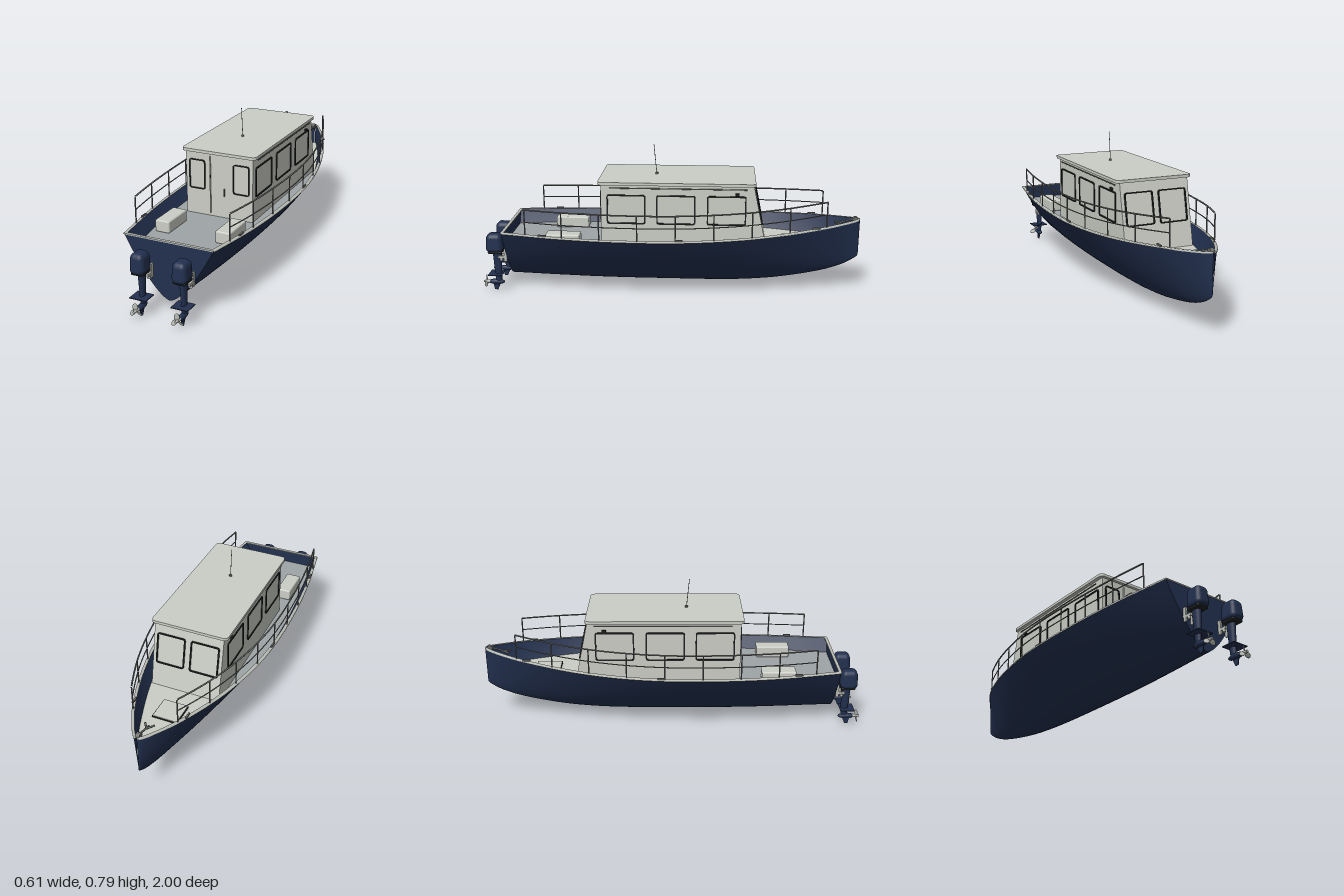
import * as THREE from 'three';
import { RoundedBoxGeometry } from 'three/addons/geometries/RoundedBoxGeometry.js';

const V = (x, y, z) => new THREE.Vector3(x, y, z);
const mat = (name, color, side = THREE.FrontSide) =>
  Object.assign(new THREE.MeshStandardMaterial({ color, side }), { name });

// Hull stations: z, half width, keel height, gunwale height
const STATIONS = [
  [0.86, 0.23, 0.063, 0.357], [0.6, 0.27, 0.055, 0.351], [0.4, 0.29, 0.05, 0.348],
  [0.2, 0.3, 0.048, 0.347], [0, 0.301, 0.048, 0.348], [-0.2, 0.287, 0.048, 0.352],
  [-0.4, 0.253, 0.053, 0.358], [-0.6, 0.201, 0.072, 0.369], [-0.8, 0.126, 0.11, 0.383],
  [-0.92, 0.065, 0.15, 0.392], [-0.985, 0.023, 0.188, 0.398], [-1, 0.002, 0.205, 0.4],
];
const curve = (pts) => new THREE.CatmullRomCurve3(pts, false, 'catmullrom', 0.5);
const topCurve = curve(STATIONS.map(([z, w, , t]) => V(w, t, z)));
const keelCurve = curve(STATIONS.map(([z, , k]) => V(0, k, z)));
const DECK = 0.285;

function station(u) {
  const p = topCurve.getPoint(u);
  return { z: p.z, w: Math.max(p.x, 0.002), top: p.y, keel: keelCurve.getPoint(u).y };
}
function stationAt(z) {
  let lo = 0, hi = 1;
  for (let i = 0; i < 30; i++) {
    const m = (lo + hi) / 2;
    if (topCurve.getPoint(m).z > z) lo = m; else hi = m;
  }
  return station(lo);
}
const RINGS = Array.from({ length: 61 }, (_, i) => station(i / 60));

// Grid of points (rows of equal length) to a smooth surface
function loft(rows) {
  const n = rows[0].length, pos = [], idx = [];
  rows.forEach((r) => r.forEach((p) => pos.push(p.x, p.y, p.z)));
  for (let i = 0; i < rows.length - 1; i++) for (let j = 0; j < n - 1; j++) {
    const a = i * n + j, b = a + n;
    idx.push(a, a + 1, b, a + 1, b + 1, b);
  }
  const g = new THREE.BufferGeometry();
  g.setAttribute('position', new THREE.Float32BufferAttribute(pos, 3));
  g.setIndex(idx);
  g.computeVertexNormals();
  return g;
}
const section = (s) => Array.from({ length: 33 }, (_, j) => {
  const t = j / 16 - 1;
  return V(s.w * t, s.keel + (s.top - s.keel) * Math.abs(t) ** 1.5, s.z);
});

function roundRect(w, h, r, C = THREE.Shape) {
  const s = new C(), x = w / 2, y = h / 2;
  s.moveTo(-x + r, -y);
  s.lineTo(x - r, -y); s.quadraticCurveTo(x, -y, x, -y + r);
  s.lineTo(x, y - r); s.quadraticCurveTo(x, y, x - r, y);
  s.lineTo(-x + r, y); s.quadraticCurveTo(-x, y, -x, y - r);
  s.lineTo(-x, -y + r); s.quadraticCurveTo(-x, -y, -x + r, -y);
  return s;
}
const extrude = (shape, depth) =>
  new THREE.ExtrudeGeometry(shape, { depth, bevelEnabled: false, curveSegments: 6 });
function frameGeo(w, h, t, r, depth = 0.006) {
  const s = roundRect(w, h, r);
  s.holes.push(roundRect(w - 2 * t, h - 2 * t, Math.max(r - t, 0.001), THREE.Path));
  return extrude(s, depth);
}
const box = (w, h, d) => new THREE.BoxGeometry(w, h, d);
const tube = (pts, r) => new THREE.TubeGeometry(
  pts.length > 2 ? new THREE.CatmullRomCurve3(pts) : new THREE.LineCurve3(...pts),
  pts.length > 2 ? 60 : 1, r, 8);

export function createModel() {
  const model = new THREE.Group();
  const navy = mat('navy', 0x22304f, THREE.DoubleSide);
  const cream = mat('cream', 0xcbcec6);
  const trim = mat('trim', 0xb9bcb5, THREE.DoubleSide);
  const deckGrey = mat('deckGrey', 0x9fa4a6, THREE.DoubleSide);
  const foredeckCream = mat('foredeckCream', 0xcbcec6, THREE.DoubleSide);
  const steel = mat('steel', 0x6c6e6b);
  const black = mat('black', 0x1d201f);
  const add = (name, geo, m, x = 0, y = 0, z = 0, parent = model) => {
    const o = new THREE.Mesh(geo, m);
    o.name = name;
    o.position.set(x, y, z);
    parent.add(o);
    return o;
  };

  // Hull shell and flat transom
  add('hull', loft(RINGS.map(section)), navy);
  const transom = new THREE.Shape(section(RINGS[0]).map((p) => new THREE.Vector2(p.x, p.y)));
  add('transom', new THREE.ShapeGeometry(transom), navy, 0, 0, 0.86);

  // Flat decks fitted to the inside of the hull
  const deckRow = (z) => {
    const s = stationAt(z);
    const w = s.w * ((DECK - s.keel) / (s.top - s.keel)) ** (2 / 3);
    return [V(-w, DECK, z), V(w, DECK, z)];
  };
  const deck = (z0, z1) => loft(Array.from({ length: 25 }, (_, i) => deckRow(z0 + (z1 - z0) * i / 24)));
  add('cockpitDeck', deck(0.858, -0.49), deckGrey);
  add('foreDeck', deck(-0.49, -0.995), foredeckCream);

  // Gunwale cap on both sides and across the stern
  for (const s of [-1, 1]) {
    add('gunwale', loft(RINGS.map((r) => [
      V(s * Math.max(r.w - 0.013, 0), r.top + 0.004, r.z), V(s * (r.w + 0.003), r.top + 0.004, r.z),
      V(s * (r.w + 0.003), r.top - 0.004, r.z)])), trim);
  }
  add('sternCap', box(0.46, 0.006, 0.016), trim, 0, 0.358, 0.855);

  // Cabin body with raked front
  const profile = new THREE.Shape([[0.345, DECK], [0.345, 0.617], [-0.435, 0.617], [-0.505, DECK]]
    .map(([z, y]) => new THREE.Vector2(z, y)));
  add('cabin', extrude(profile, 0.366).rotateY(-Math.PI / 2).translate(0.183, 0, 0), cream);
  add('roof', extrude(roundRect(0.404, 0.805, 0.025), 0.015).rotateX(-Math.PI / 2), cream, 0, 0.615, -0.0425);
  add('antennaBase', new THREE.CylinderGeometry(0.007, 0.007, 0.01, 16), steel, 0, 0.634, 0.07);
  add('antenna', tube([V(0, 0.63, 0.07), V(0, 0.785, 0.085)], 0.0016), steel);

  // Window frames, grab rails and side lights
  const rake = Math.atan2(0.07, 0.332);
  for (const s of [-1, 1]) {
    add('aftWindowFrame', frameGeo(0.09, 0.156, 0.006, 0.016), black, s * 0.121, 0.497, 0.344);
    for (const z of [0.215, -0.04, -0.298]) {
      add('sideWindowFrame', frameGeo(0.2, 0.155, 0.007, 0.014), black, s * 0.182, 0.485, z)
        .rotation.y = s * Math.PI / 2;
    }
    const y = 0.487;
    add('windshieldFrame', frameGeo(0.152, 0.165, 0.007, 0.014), black, s * 0.09, y,
      -0.505 + (y - DECK) * Math.tan(rake)).rotation.set(rake, Math.PI, 0);
    add('grabRail', tube([V(s * 0.188, 0.598, 0.3), V(s * 0.188, 0.598, -0.4)], 0.003), steel);
    add('sideLight', box(0.012, 0.012, 0.02), black, s * 0.187, 0.572, -0.35);
  }
  // Cabin door details
  add('doorEdge', box(0.005, 0.3, 0.008), cream, -0.048, 0.45, 0.347);
  add('doorLatch', box(0.004, 0.014, 0.01), black, -0.046, 0.497, 0.35);
  add('doorHandle', box(0.003, 0.038, 0.012), steel, 0.03, 0.42, 0.35);

  // Deck rails with posts
  const H = 0.137;
  for (const s of [-1, 1]) {
    const onGunwale = (z, h) => {
      const g = stationAt(z);
      return V(s * (g.w - 0.004), g.top + h, z);
    };
    for (const [name, h, r] of [['topRail', H, 0.004], ['middleRail', H * 0.52, 0.0028]]) {
      add(name, tube(Array.from({ length: 17 }, (_, i) => onGunwale(0.73 - i * 0.09656, h)), r), steel);
    }
    for (let i = 0; i < 9; i++) {
      const z = 0.73 - i * 0.1931;
      add('railPost', tube([onGunwale(z, 0), onGunwale(z, H)], 0.0035), steel);
    }
    // Mooring cleats
    for (const z of [0.64, -0.06, -0.76]) {
      const p = onGunwale(z, 0.008);
      add('cleat', box(0.008, 0.008, 0.04), steel, p.x, p.y, p.z);
    }
    // Cockpit seats
    add('seat', new RoundedBoxGeometry(0.078, 0.062, 0.178, 3, 0.008), cream, s * 0.162, 0.316, 0.548);
  }

  // Foredeck hatch
  add('hatch', box(0.126, 0.008, 0.126), cream, 0, DECK + 0.004, -0.665);
  add('hatchSeam', frameGeo(0.134, 0.134, 0.004, 0.005, 0.005).rotateX(-Math.PI / 2), black, 0, DECK, -0.665);

  // Anchor on its bow roller
  const anchor = new THREE.Group();
  anchor.name = 'anchor';
  model.add(anchor);
  add('bowRoller', new THREE.CylinderGeometry(0.016, 0.016, 0.02, 16).rotateZ(Math.PI / 2), steel, 0, 0.398, -0.976, anchor);
  add('shank', tube([V(0, 0.402, -0.97), V(0, 0.375, -0.88)], 0.005), steel, 0, 0, 0, anchor);
  for (const s of [-1, 1]) {
    add('fluke', tube([V(0, 0.38, -0.905), V(s * 0.024, 0.378, -0.87)], 0.005), steel, 0, 0, 0, anchor);
  }

  // Twin outboard motors
  for (const s of [-1, 1]) {
    const motor = new THREE.Group();
    motor.name = 'outboardMotor';
    motor.position.x = s * 0.108;
    model.add(motor);
    const put = (name, geo, m, x, y, z) => add(name, geo, m, x, y, z, motor);
    const cowl = new RoundedBoxGeometry(0.076, 0.105, 0.092, 6, 0.026);
    const p = cowl.attributes.position;
    for (let i = 0; i < p.count; i++) {
      const k = 1 - 0.14 * Math.max(0, p.getY(i) / 0.0525);
      p.setXYZ(i, p.getX(i) * k, p.getY(i), p.getZ(i) * k);
    }
    cowl.computeVertexNormals();
    put('cowl', cowl, navy, 0, 0.2675, 0.928);
    put('cowlBand', new RoundedBoxGeometry(0.064, 0.016, 0.075, 3, 0.007), black, 0, 0.219, 0.925);
    put('leg', new THREE.CylinderGeometry(0.017, 0.011, 0.165, 20).scale(1, 1, 1.5), navy, 0, 0.135, 0.917);
    put('ventilationPlate', box(0.087, 0.004, 0.075), navy, 0, 0.094, 0.928);
    put('gearcase', new THREE.SphereGeometry(0.015, 20, 14).scale(1, 1, 3), navy, 0, 0.046, 0.93);
    const skeg = new THREE.Shape([[0.905, 0.046], [0.95, 0.046], [0.942, 0.002], [0.925, 0]]
      .map(([z, y]) => new THREE.Vector2(z, y)));
    put('skeg', extrude(skeg, 0.005).rotateY(-Math.PI / 2), navy, 0.0025, 0, 0);
    // Transom clamps
    for (const c of [-1, 1]) {
      put('clamp', box(0.01, 0.07, 0.016), trim, c * 0.022, 0.205, 0.868);
      put('clampArm', box(0.01, 0.014, 0.045), trim, c * 0.022, 0.193, 0.885);
      put('clampScrew', new THREE.CylinderGeometry(0.008, 0.008, 0.014, 12), trim, c * 0.022, 0.181, 0.892);
    }
    // Propeller
    put('propellerHub', new THREE.CylinderGeometry(0.006, 0.01, 0.04, 16).rotateX(Math.PI / 2), trim, 0, 0.046, 0.98);
    for (let i = 0; i < 3; i++) {
      const blade = new THREE.SphereGeometry(1, 14, 10).scale(0.0125, 0.018, 0.002)
        .rotateY(0.5).translate(0, 0.02, 0).rotateZ(0.1 + i * Math.PI * 2 / 3);
      put('propellerBlade', blade, trim, 0, 0.046, 0.983);
    }
  }
  return model;
}
